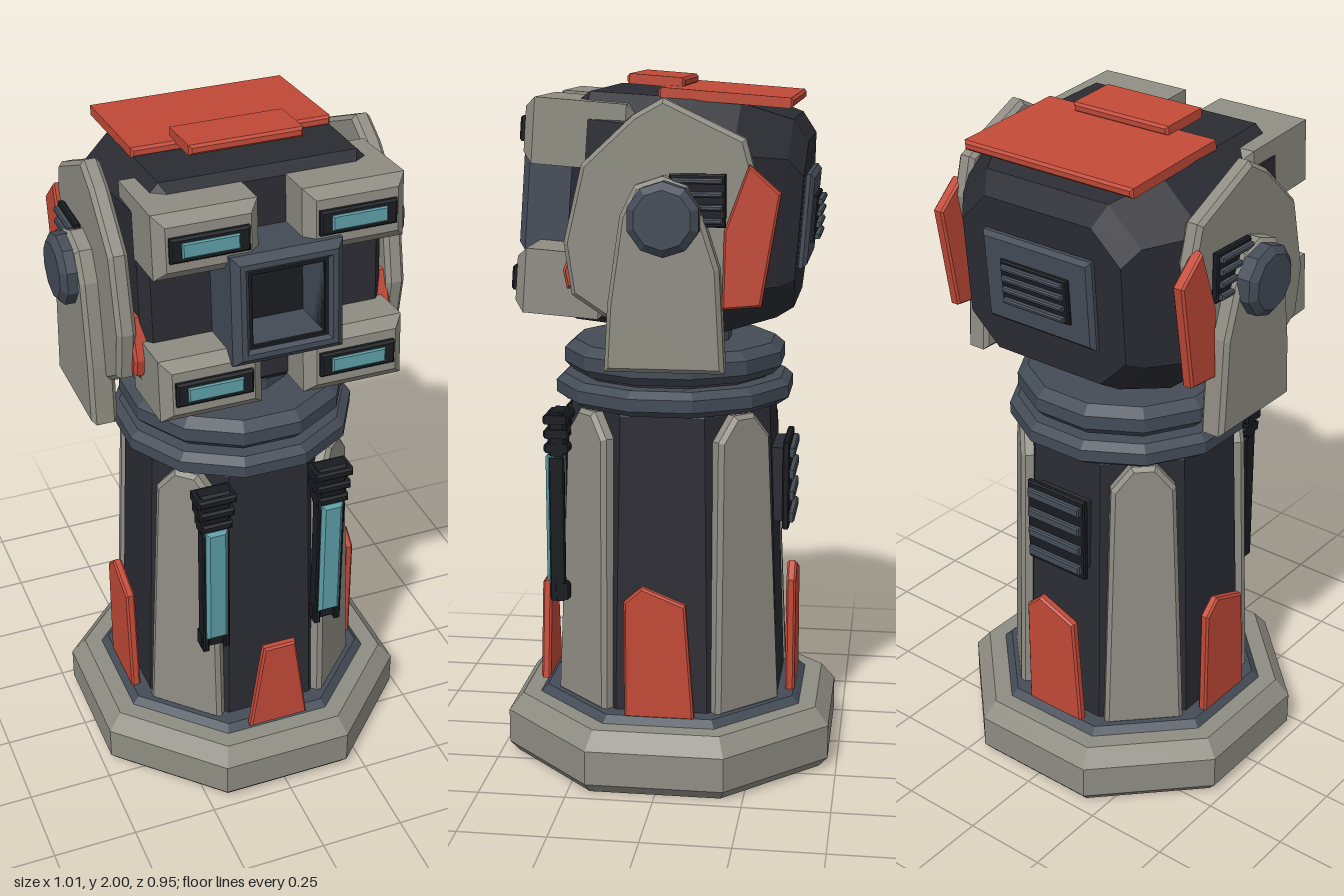
import * as THREE from 'three';

const mat = (color) => new THREE.MeshStandardMaterial({ color, flatShading: true });

export function createModel() {
  const armour = mat(0x8f8d83), dark = mat(0x2b2c33), slate = mat(0x444c57);
  const red = mat(0xc24a38), teal = mat(0x5b9ca4), black = mat(0x191c21);
  const model = new THREE.Group();

  const add = (parent, name, geo, material, x = 0, y = 0, z = 0) => {
    const mesh = new THREE.Mesh(geo, material);
    mesh.name = name;
    mesh.position.set(x, y, z);
    parent.add(mesh);
    return mesh;
  };
  // Bevelled slab from an outline, running from z = 0 to z = depth
  const slab = (pts, depth, bevel = 0.008, hole) => {
    const shape = new THREE.Shape(pts.map((p) => new THREE.Vector2(...p)));
    if (hole) shape.holes.push(new THREE.Path(hole.map((p) => new THREE.Vector2(...p))));
    const geo = new THREE.ExtrudeGeometry(shape, {
      depth: depth - 2 * bevel, bevelEnabled: true, bevelSegments: 1,
      bevelThickness: bevel, bevelSize: bevel, bevelOffset: -bevel,
    });
    return geo.translate(0, 0, bevel);
  };
  const rect = (w, h) => [[-w / 2, -h / 2], [w / 2, -h / 2], [w / 2, h / 2], [-w / 2, h / 2]];
  const block = (w, h, d, bevel = 0.01) => slab(rect(w, h), d, bevel).translate(0, 0, -d / 2);
  // Faceted solid of revolution; radii are measured to the flats
  const turned = (profile, sides) => new THREE.LatheGeometry(
    profile.map(([r, y]) => new THREE.Vector2(r / Math.cos(Math.PI / sides), y)), sides, Math.PI / sides);

  // Base, column and turntable
  add(model, 'base', turned([[0, 0], [0.45, 0], [0.475, 0.03], [0.475, 0.13], [0.435, 0.18], [0, 0.18]], 8), armour);
  add(model, 'baseCollar', turned([[0.39, 0.175], [0.365, 0.2], [0, 0.2]], 8), slate);
  add(model, 'column', turned([[0.32, 0.19], [0.288, 1.06], [0.27, 1.09], [0, 1.09]], 8), dark);
  add(model, 'lowerRing', turned([[0, 1.065], [0.31, 1.065], [0.338, 1.085], [0.338, 1.12], [0.315, 1.14], [0, 1.14]], 12), slate);
  add(model, 'ringGap', turned([[0.27, 1.13], [0.27, 1.17]], 12), dark);
  add(model, 'turntable', turned([[0, 1.15], [0.29, 1.15], [0.314, 1.175], [0.314, 1.215], [0.285, 1.24], [0, 1.24]], 12), slate);
  add(model, 'neck', turned([[0.16, 1.23], [0.16, 1.27], [0.14, 1.29], [0.14, 1.36]], 12), slate);

  // Armour on the diagonal faces of the column
  for (let i = 0; i < 4; i++) {
    const side = new THREE.Group();
    side.name = 'columnArmour';
    side.rotation.y = Math.PI / 4 + i * Math.PI / 2;
    const panel = add(side, 'armourPanel', slab(
      [[-0.118, 0], [0.118, 0], [0.092, 0.8], [0.035, 0.87], [-0.035, 0.87], [-0.092, 0.8]], 0.06, 0.012), armour, 0, 0.19, 0.292);
    panel.rotation.x = -0.03;
    model.add(side);
  }

  // Red guards at the foot of the column
  const guard = [[-0.1, 0], [0.1, 0], [0.075, 0.34], [-0.05, 0.39], [-0.1, 0.345]];
  for (const [turn, r] of [[1, 0.34], [2, 0.34], [3, 0.34]]) {
    const holder = new THREE.Group();
    holder.name = 'footGuard';
    holder.rotation.y = turn * Math.PI / 2;
    add(holder, 'guardPlate', slab(guard, 0.028, 0.006), red, 0, 0.195, r);
    model.add(holder);
  }
  add(model, 'frontGuard', slab([[-0.092, 0], [0.092, 0], [0.05, 0.295], [-0.05, 0.295]], 0.028, 0.006), red, 0, 0.195, 0.37);

  // Lit tubes with ribbed caps on the front of the column
  for (const s of [-1, 1]) {
    const x = s * 0.177;
    add(model, 'lightTube', block(0.066, 0.39, 0.05), teal, x, 0.73, 0.327);
    for (const e of [-1, 1]) add(model, 'tubeRail', block(0.018, 0.43, 0.045, 0.004), black, x + e * 0.032, 0.7, 0.318);
    add(model, 'tubeBracket', block(0.085, 0.05, 0.045, 0.006), black, x, 0.515, 0.305);
    add(model, 'tubeCap', block(0.09, 0.13, 0.055), black, x, 0.985, 0.315);
    for (let i = 0; i < 3; i++)
      add(model, 'capRib', block(0.115 - i * 0.012, 0.026, 0.075, 0.006), black, x, 1.03 - i * 0.043, 0.316);
  }

  // Louvres, used on the column, head and side plates
  const louvre = (parent, name, w, h, n, x, y, z, turn) => {
    const g = new THREE.Group();
    g.name = name;
    g.position.set(x, y, z);
    g.rotation.y = turn;
    add(g, 'louvreBack', block(w, h, 0.02, 0.004), black);
    for (let i = 0; i < n; i++)
      add(g, 'louvreBar', block(w * 0.9, h / n * 0.42, 0.022, 0.004), slate, 0, ((i + 0.5) / n - 0.5) * h, 0.014);
    parent.add(g);
  };
  const vent = [0, 0.825, -0.335];
  add(model, 'ventMount', block(0.18, 0.22, 0.06), dark, 0, 0.825, -0.305);
  louvre(model, 'columnVent', 0.21, 0.26, 4, ...vent, Math.PI);

  // Head, pitched slightly upward
  const head = new THREE.Group();
  head.name = 'head';
  head.position.y = 1.63;
  head.rotation.x = -0.075;
  model.add(head);

  // Head shell: chamfered sections [z, half width, bottom, top, chamfer]
  const sections = [
    [-0.375, 0.27, -0.24, 0.22, 0.09], [-0.33, 0.305, -0.27, 0.275, 0.1], [-0.19, 0.4, -0.315, 0.312, 0.13],
    [-0.06, 0.36, -0.325, 0.314, 0.08], [0.22, 0.345, -0.315, 0.31, 0.07], [0.25, 0.32, -0.29, 0.285, 0.06],
  ];
  const pos = [], idx = [];
  sections.forEach(([z, w, lo, hi, c], s) => {
    const ring = [[w, lo + c], [w, hi - c], [w - c, hi], [c - w, hi], [-w, hi - c], [-w, lo + c], [c - w, lo], [w - c, lo]];
    ring.forEach(([x, y]) => pos.push(x, y, z));
    if (s === sections.length - 1) return;
    for (let i = 0; i < 8; i++) {
      const a = s * 8 + i, b = s * 8 + (i + 1) % 8;
      idx.push(a, b, b + 8, a, b + 8, a + 8);
    }
  });
  const last = (sections.length - 1) * 8;
  for (let i = 1; i < 7; i++) idx.push(0, i + 1, i, last, last + i, last + i + 1);
  const shell = new THREE.BufferGeometry();
  shell.setAttribute('position', new THREE.Float32BufferAttribute(pos, 3));
  shell.setIndex(idx);
  shell.computeVertexNormals();
  add(head, 'headShell', shell, dark);

  // Square muzzle
  add(head, 'muzzle', slab(rect(0.31, 0.31), 0.22, 0.02, rect(0.2, 0.2)), slate, 0, 0, 0.2);
  add(head, 'muzzleLining', slab(rect(0.225, 0.225), 0.2, 0.002, rect(0.2, 0.2)), black, 0, 0, 0.21);
  add(head, 'muzzleFloor', block(0.22, 0.22, 0.02, 0.002), black, 0, 0, 0.255);

  // Four lamp housings
  for (const s of [-1, 1]) for (const [y, back] of [[0.198, 0.08], [-0.21, 0.12]]) {
    const x = s * 0.203;
    add(head, 'lampHousing', slab(rect(0.285, 0.178), 0.385 - back, 0.028), armour, x, y, back);
    add(head, 'lampFrame', block(0.215, 0.068, 0.03, 0.006), black, x, y, 0.385);
    add(head, 'lampLens', block(0.155, 0.042, 0.03, 0.004), teal, x, y, 0.391);
  }

  // Roof plates and rear vent
  add(head, 'roofPlate', block(0.566, 0.028, 0.365, 0.007), red, 0, 0.322, -0.148);
  add(head, 'roofCap', block(0.32, 0.028, 0.16, 0.007), red, 0, 0.346, 0.06);
  add(head, 'rearPanel', block(0.37, 0.26, 0.035, 0.012), slate, 0, 0, -0.383);
  louvre(head, 'rearVent', 0.23, 0.13, 4, 0, 0, -0.402, Math.PI);

  // Side assemblies; outlines are given as [z, y]
  const flank = (name, pts, inner, depth, s, material, bevel) => {
    const geo = slab(pts.map(([z, y]) => [-z, y]).reverse(), depth, bevel);
    add(model, name, geo, material, s > 0 ? inner : -inner - depth, 0, 0).rotation.y = Math.PI / 2;
  };
  for (const s of [-1, 1]) {
    flank('cheekPlate', [[0.14, 1.36], [0.23, 1.42], [0.25, 1.56], [0.2, 1.77], [0.06, 1.9], [-0.02, 1.945],
      [-0.24, 1.84], [-0.27, 1.73], [-0.2, 1.42], [-0.1, 1.36]], 0.36, 0.054, s, armour, 0.012);
    flank('yokeArm', [[0.135, 1.22], [0.125, 1.4], [0.09, 1.64], [0.05, 1.72], [-0.025, 1.745], [-0.09, 1.72],
      [-0.13, 1.64], [-0.175, 1.5], [-0.19, 1.22]], 0.386, 0.075, s, armour, 0.012);
    flank('sideFin', [[-0.18, 1.39], [-0.185, 1.6], [-0.25, 1.775], [-0.335, 1.7], [-0.285, 1.4]], 0.395, 0.035, s, red, 0.006);
    flank('frontFin', [[0.17, 1.43], [0.25, 1.43], [0.26, 1.48], [0.22, 1.59], [0.17, 1.59]], 0.315, 0.058, s, red, 0.008);
    louvre(model, 'sideVent', 0.15, 0.14, 4, s * 0.425, 1.68, -0.115, s * Math.PI / 2);
    const hub = add(model, 'pivotHub', turned([[0, -0.028], [0.095, -0.028], [0.095, 0.012], [0.075, 0.028], [0, 0.028]], 10),
      slate, s * 0.477, 1.635, -0.03);
    hub.rotation.z = -s * Math.PI / 2;
  }
  return model;
}
